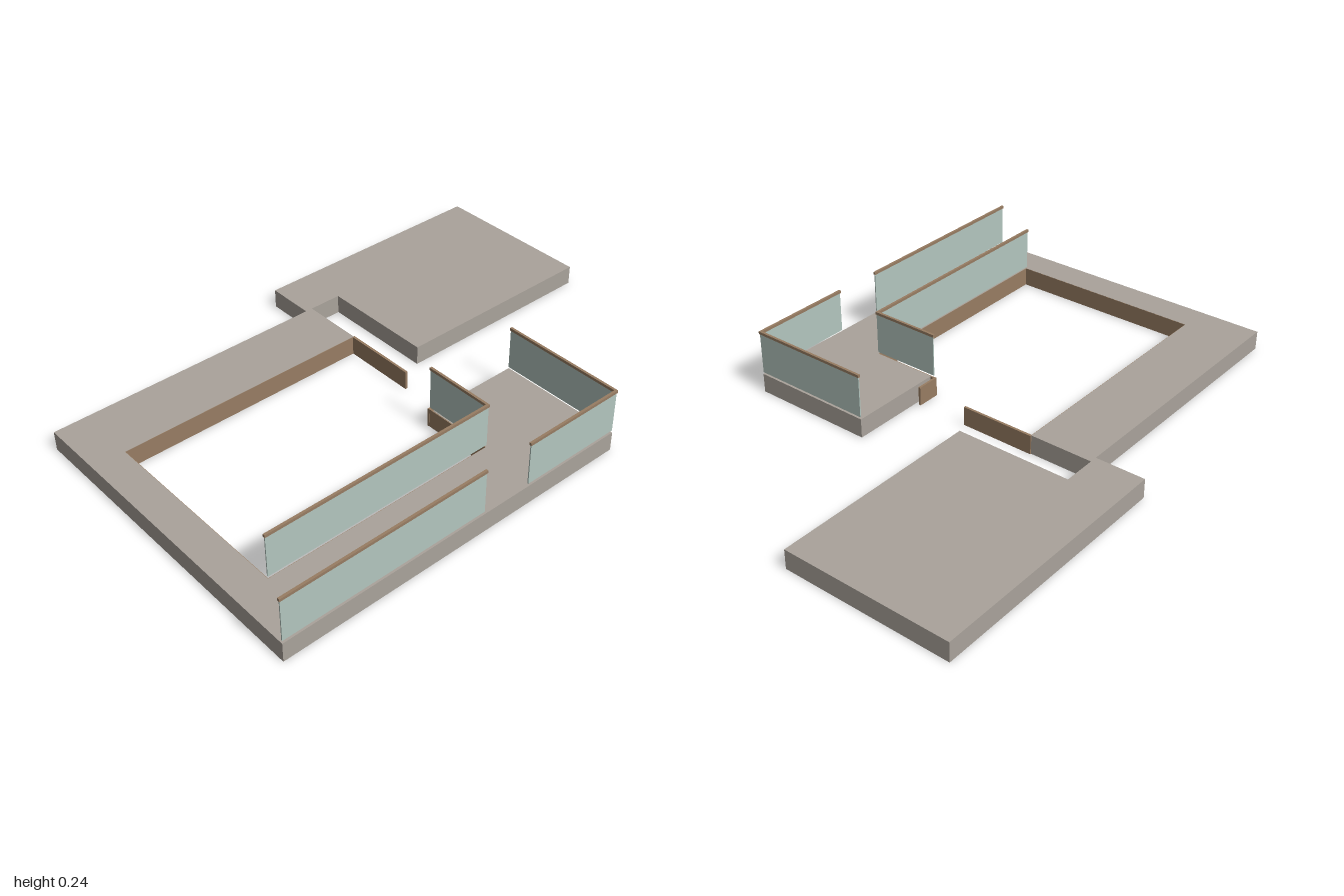
import * as THREE from 'three';

const SLAB_H = 0.072;
const GLASS_Y0 = 0.08;
const GLASS_Y1 = 0.234;
const CAP_H = 0.01;

export function createModel() {
  const group = new THREE.Group();
  const stone = new THREE.MeshStandardMaterial({ color: 0xaaa39b, name: 'stone' });
  const wood = new THREE.MeshStandardMaterial({ color: 0x987d63, name: 'wood' });
  const glass = new THREE.MeshStandardMaterial({ color: 0xb3c6bf, name: 'paleGlass' });

  // Flat slab from a plan outline of [x, z] points
  function slab(name, plan) {
    const shape = new THREE.Shape(plan.map(([x, z]) => new THREE.Vector2(x, -z)));
    const geometry = new THREE.ExtrudeGeometry(shape, { depth: SLAB_H, bevelEnabled: false });
    geometry.rotateX(-Math.PI / 2);
    const mesh = new THREE.Mesh(geometry, stone);
    mesh.name = name;
    group.add(mesh);
  }

  // Upright strip along x or z between two plan points
  function strip(name, [x0, z0], [x1, z1], y0, y1, thickness, material, parent = group) {
    const mesh = new THREE.Mesh(
      new THREE.BoxGeometry(Math.abs(x1 - x0) + thickness, y1 - y0, Math.abs(z1 - z0) + thickness),
      material
    );
    mesh.position.set((x0 + x1) / 2, (y0 + y1) / 2, (z0 + z1) / 2);
    mesh.name = name;
    parent.add(mesh);
  }

  // Floor slabs
  slab('courtyardSlab', [
    [-1, -0.512], [0.077, -0.512], [0.077, -0.275], [-0.88, -0.275], [-0.88, 0.472],
    [-0.002, 0.472], [-0.002, 0.224], [0.356, 0.224], [0.356, 0.692], [-1, 0.692],
  ]);
  slab('terraceSlab', [
    [0.05, -0.698], [0.998, -0.698], [0.998, -0.075],
    [0.202, -0.075], [0.202, -0.512], [0.05, -0.512],
  ]);

  // Wooden fascia lining the courtyard
  const fascia = [
    [[-0.88, -0.275], [0.074, -0.275], 0.003],
    [[-0.88, -0.275], [-0.88, 0.472], 0.003],
    [[-0.88, 0.472], [-0.002, 0.472], 0.003],
    [[-0.002, 0.206], [-0.002, 0.472], 0.006],
    [[-0.002, 0.206], [0.077, 0.206], 0.008],
    [[0.077, -0.271], [0.077, 0.002], 0.009],
  ];
  for (const [a, b, t] of fascia) strip('fascia', a, b, 0, SLAB_H - 0.0005, t, wood);

  // Glass railings with wooden handrails
  const railings = [
    ['frontRailingRight', [-0.996, 0.688], [-0.227, 0.688]],
    ['frontRailingLeft', [-0.034, 0.688], [0.354, 0.688]],
    ['sideRailing', [0.354, 0.228], [0.354, 0.688]],
    ['courtyardRailing', [-0.878, 0.47], [-0.002, 0.47]],
    ['returnRailing', [-0.002, 0.212], [-0.002, 0.47]],
  ];
  for (const [name, a, b] of railings) {
    const railing = new THREE.Group();
    railing.name = name;
    strip('glassPanel', a, b, GLASS_Y0, GLASS_Y1, 0.004, glass, railing);
    strip('handrail', a, b, GLASS_Y1, GLASS_Y1 + CAP_H, 0.009, wood, railing);
    group.add(railing);
  }

  return group;
}
